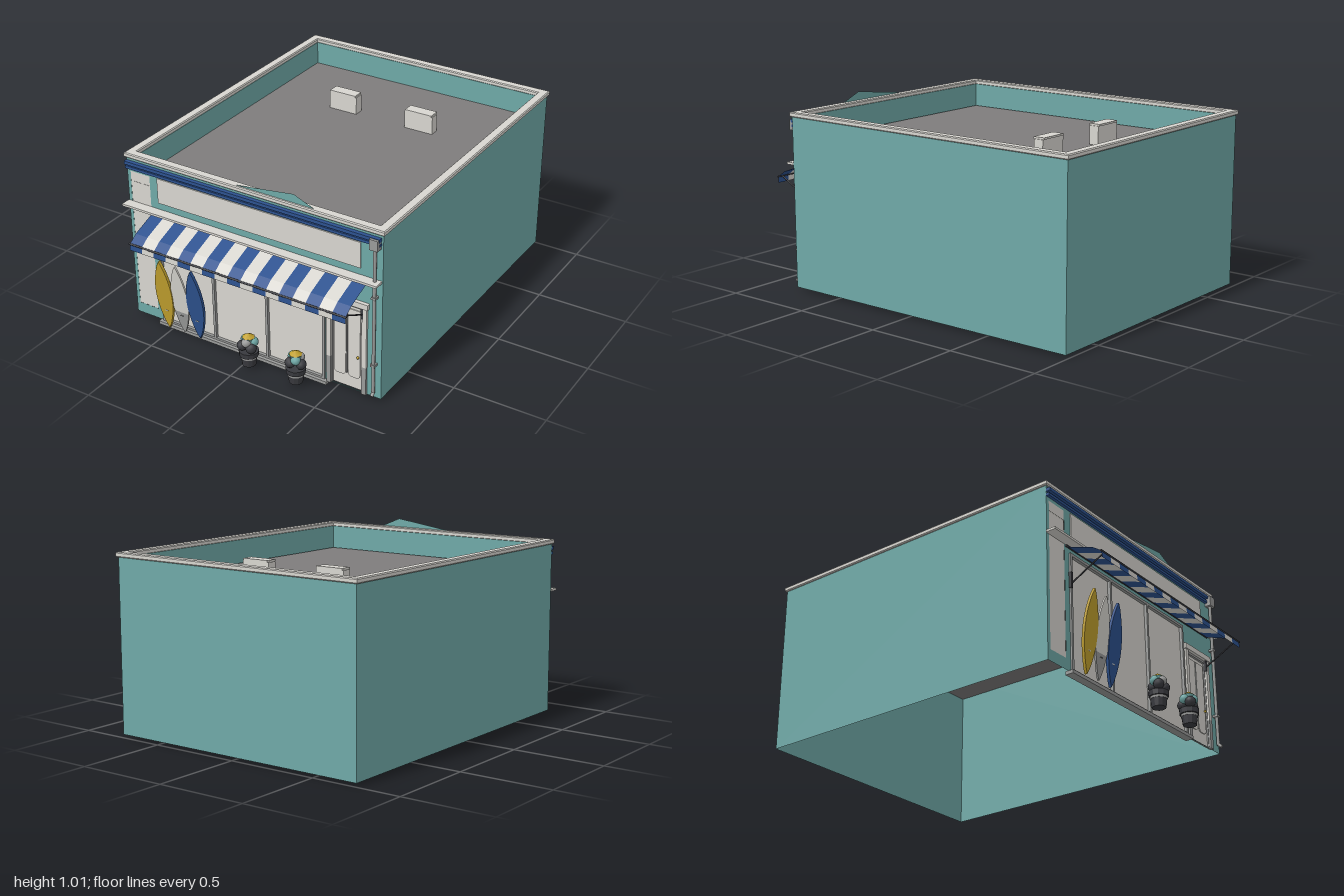
import * as THREE from 'three';
import { mergeGeometries } from 'three/addons/utils/BufferGeometryUtils.js';

const mat = (name, color, side = THREE.FrontSide) => {
  const m = new THREE.MeshStandardMaterial({ color, side });
  m.name = name;
  return m;
};

export function createModel() {
  const D = THREE.DoubleSide;
  const teal = mat('teal paint', 0x6fa9a7, D);
  const pale = mat('pale plaster', 0xd8d6d0, D);
  const grey = mat('grey metal', 0x9a9b9a);
  const roofGrey = mat('roof felt', 0x7e7c7c, D);
  const blue = mat('blue', 0x2d528f, D);
  const gold = mat('gold', 0xc2a12e);
  const dark = mat('dark iron', 0x3a3b40);

  const root = new THREE.Group();
  root.name = 'shop';
  const add = (name, geo, material, parent = root) => {
    const m = new THREE.Mesh(geo, material);
    m.name = name;
    parent.add(m);
    return m;
  };
  // Box given by its limits
  const box = (name, material, x0, x1, y0, y1, z0, z1, parent) => {
    const m = add(name, new THREE.BoxGeometry(x1 - x0, y1 - y0, z1 - z0), material, parent);
    m.position.set((x0 + x1) / 2, (y0 + y1) / 2, (z0 + z1) / 2);
    return m;
  };
  const rect = (x0, x1, y0, y1, C = THREE.Shape) => new C([
    new THREE.Vector2(x0, y0), new THREE.Vector2(x1, y0),
    new THREE.Vector2(x1, y1), new THREE.Vector2(x0, y1)]);
  const rod = (name, material, a, b, r, parent) => {
    const p = new THREE.Vector3(...a), q = new THREE.Vector3(...b);
    const m = add(name, new THREE.CylinderGeometry(r, r, p.distanceTo(q), 8), material, parent);
    m.position.copy(p).add(q).multiplyScalar(0.5);
    m.quaternion.setFromUnitVectors(new THREE.Vector3(0, 1, 0), q.sub(p).normalize());
    return m;
  };

  // Shell: open below, with openings in the front
  const zF = 0.79, zB = -0.99, base = 0.015, top = 0.945, roofY = 0.81;
  const front = rect(-0.75, 0.75, base, top);
  front.holes.push(rect(-0.73, -0.61, 0.075, 0.865, THREE.Path),
    rect(-0.57, 0.43, 0.02, 0.64, THREE.Path),
    rect(0.455, 0.665, 0.02, 0.535, THREE.Path));
  add('frontWall', new THREE.ShapeGeometry(front), teal).position.z = zF;
  const back = add('backWall', new THREE.ShapeGeometry(rect(-0.75, 0.75, base, top)), teal);
  back.rotation.y = Math.PI;
  back.position.z = zB;
  for (const s of [-1, 1]) {
    const w = add(s > 0 ? 'leftWall' : 'rightWall', new THREE.PlaneGeometry(zF - zB, top - base), teal);
    w.rotation.y = s * Math.PI / 2;
    w.position.set(s * 0.75, (top + base) / 2, (zF + zB) / 2);
  }
  const roof = add('roof', new THREE.PlaneGeometry(1.5, zF - zB), roofGrey);
  roof.rotation.x = -Math.PI / 2;
  roof.position.set(0, roofY, (zF + zB) / 2);

  // Parapet and its coping
  const ring = (name, material, w, z0, z1, y0, y1, bevel) => {
    const s = rect(-w + bevel, w - bevel, -z1 + bevel, -z0 - bevel);
    s.holes.push(rect(-0.71 - bevel, 0.71 + bevel, -0.75 - bevel, 0.95 + bevel, THREE.Path));
    const g = new THREE.ExtrudeGeometry(s, {
      depth: y1 - y0 - 2 * bevel, bevelEnabled: bevel > 0,
      bevelSize: bevel, bevelThickness: bevel, bevelSegments: 1 });
    g.rotateX(-Math.PI / 2);
    add(name, g, material).position.y = y0 + bevel;
  };
  ring('parapet', teal, 0.748, zB + 0.002, zF - 0.002, roofY + 0.003, top - 0.002, 0);
  ring('coping', pale, 0.76, -1, 0.8, 0.94, 0.966, 0.005);
  const gable = new THREE.Shape([new THREE.Vector2(-0.1, 0.964), new THREE.Vector2(0.375, 0.964),
    new THREE.Vector2(0.255, 1.013)]);
  add('gable', new THREE.ShapeGeometry(gable), teal).position.z = 0.786;

  // Roof vents
  for (const x of [-0.24, 0.235]) {
    box('roofVent', pale, x - 0.085, x + 0.085, roofY, 0.91, -0.525, -0.47);
    box('ventLid', pale, x - 0.08, x + 0.08, 0.91, 0.92, -0.53, -0.465);
  }

  // Facade trim
  box('upperCorniceBand', blue, -0.75, 0.74, 0.907, 0.925, zF, 0.812);
  box('lowerCorniceBand', blue, -0.75, 0.74, 0.882, 0.897, zF, 0.806);
  box('ledge', pale, -0.755, 0.745, 0.68, 0.692, zF, 0.845);
  box('signPanel', pale, -0.56, 0.63, 0.73, 0.87, zF, 0.796);
  box('sidePanel', pale, -0.73, -0.61, 0.075, 0.865, zF - 0.006, zF - 0.001);

  // Shop window
  box('windowPane', pale, -0.57, 0.43, 0.02, 0.64, 0.778, 0.784);
  for (const x of [-0.566, -0.235, 0.09, 0.425]) {
    box('mullion', grey, x - 0.007, x + 0.007, 0.02, 0.64, 0.784, 0.8);
  }
  box('windowRail', grey, -0.573, 0.432, 0.02, 0.031, 0.784, 0.8);
  box('windowHead', grey, -0.573, 0.432, 0.63, 0.645, 0.784, 0.8);
  box('sill', grey, -0.59, 0.45, 0, 0.018, 0.77, 0.815);

  // Door
  const door = new THREE.Group();
  door.name = 'door';
  root.add(door);
  box('doorSlab', pale, 0.455, 0.665, 0.02, 0.535, 0.776, 0.784, door);
  for (const x of [0.457, 0.658]) {
    box('doorJamb', pale, x - 0.013, x + 0.013, 0.175, 0.515, 0.784, 0.803, door);
    box('jambPlinth', grey, x - 0.013, x + 0.013, base, 0.175, 0.784, 0.803, door);
  }
  box('doorLintel', pale, 0.435, 0.68, 0.515, 0.545, 0.784, 0.81, door);
  box('doorHeadRail', grey, 0.47, 0.645, 0.5, 0.513, 0.784, 0.795, door);
  box('doorSideRail', grey, 0.47, 0.474, 0.02, 0.5, 0.784, 0.792, door);
  box('doorSideRail', grey, 0.641, 0.645, 0.02, 0.5, 0.784, 0.792, door);
  box('doorSplit', grey, 0.552, 0.557, 0.1, 0.48, 0.784, 0.791, door);
  for (const x of [0.514, 0.595]) {
    const s = new THREE.Shape(), h = 0.034, r = 0.025;
    s.moveTo(-h, 0.48).lineTo(-h, 0.085 + r).quadraticCurveTo(-h, 0.085, -h + r, 0.085);
    s.lineTo(h - r, 0.085).quadraticCurveTo(h, 0.085, h, 0.085 + r).lineTo(h, 0.48);
    add('doorPanel', new THREE.ExtrudeGeometry(s, { depth: 0.005, bevelEnabled: false }), pale, door)
      .position.set(x, 0, 0.784);
  }
  add('doorKnob', new THREE.SphereGeometry(0.007, 8, 6), gold, door).position.set(0.62, 0.215, 0.795);

  // Striped awning
  const profile = [[0.67, 0.792], [0.615, 0.945], [0.58, 0.995], [0.545, 0.997]];
  const stripes = [[], []], x0 = -0.594, sw = 1.266 / 17;
  for (let i = 0; i < 17; i++) {
    const g = new THREE.PlaneGeometry(1, 1, 1, profile.length - 1);
    const p = g.attributes.position;
    for (let v = 0; v < p.count; v++) {
      const [y, z] = profile[Math.floor(v / 2)];
      p.setXYZ(v, x0 + sw * (i + v % 2), y, z);
    }
    const flat = g.toNonIndexed();
    flat.computeVertexNormals();
    stripes[i % 2].push(flat);
  }
  add('awningBlueStripes', mergeGeometries(stripes[0]), blue);
  add('awningPaleStripes', mergeGeometries(stripes[1]), pale);
  rod('awningBar', dark, [-0.6, 0.58, 0.995], [0.675, 0.58, 0.995], 0.005);
  rod('awningTopBar', dark, [-0.605, 0.671, 0.797], [0.68, 0.671, 0.797], 0.006);
  for (const x of [-0.57, 0.645]) {
    rod('awningArm', dark, [x, 0.58, 0.993], [x, 0.478, 0.8], 0.004);
    box('armBracket', dark, x - 0.007, x + 0.007, 0.455, 0.54, zF, 0.805);
  }

  // Downpipe
  box('rainHead', grey, 0.692, 0.738, 0.865, 0.922, zF, 0.825);
  rod('downpipe', grey, [0.715, 0.05, 0.807], [0.715, 0.87, 0.807], 0.009);
  rod('pipeOutlet', grey, [0.715, 0.055, 0.807], [0.718, 0.04, 0.825], 0.009);
  for (const y of [0.215, 0.6]) box('pipeClip', grey, 0.702, 0.728, y - 0.006, y + 0.006, zF, 0.819);

  // Surfboards
  const boardPart = (t0, t1) => {
    const left = [], right = [], n = 16, len = 0.432;
    for (let i = 0; i <= n; i++) {
      const t = t0 + (t1 - t0) * i / n;
      const w = 0.05 * Math.pow(Math.max(0, Math.sin(Math.PI * t)), 0.8) + 0.001;
      right.push(new THREE.Vector2(w, t * len));
      left.unshift(new THREE.Vector2(-w, t * len));
    }
    return new THREE.ExtrudeGeometry(new THREE.Shape([...right, ...left]), {
      depth: 0.01, bevelEnabled: t1 - t0 === 1, bevelSize: 0.002, bevelThickness: 0.003, bevelSegments: 1 });
  };
  [[-0.505, gold], [-0.407, pale], [-0.308, blue]].forEach(([x, m]) => {
    const b = new THREE.Group();
    b.name = 'surfboard';
    b.position.set(x, 0.022, 0.822);
    b.rotation.x = 0.135;
    root.add(b);
    if (m === pale) {
      add('boardTail', boardPart(0, 0.31), grey, b);
      add('boardNose', boardPart(0.31, 1), m, b);
    } else add('board', boardPart(0, 1), m, b);
    box('boardMark', m === pale ? grey : pale, -0.01, 0.01, 0.112, 0.117, 0.012, 0.0145, b);
  });

  // Potted plants: [x, y, z, radius, material]
  const leaves = [[-0.026, 0.127, 0.02, 0.028, dark], [0.027, 0.125, 0.018, 0.029, dark],
    [0, 0.13, -0.028, 0.029, dark], [-0.022, 0.152, -0.006, 0.026, teal],
    [0.024, 0.15, -0.008, 0.027, teal], [0.002, 0.152, 0.022, 0.026, grey]];
  for (const [x, turn] of [[0.033, 0], [0.315, 2.4]]) {
    const plant = new THREE.Group();
    plant.name = 'pottedPlant';
    plant.position.set(x, base, 0.88);
    plant.rotation.y = turn;
    root.add(plant);
    const pot = [[0, 0], [0.036, 0], [0.043, 0.055], [0.05, 0.057], [0.052, 0.085], [0.044, 0.085], [0, 0.08]];
    const g = new THREE.LatheGeometry(pot.map(([r, y]) => new THREE.Vector2(r, y)), 12).toNonIndexed();
    g.computeVertexNormals();
    add('pot', g, dark, plant);
    add('potBand', new THREE.CylinderGeometry(0.0445, 0.0435, 0.012, 12, 1), grey, plant).position.y = 0.05;
    for (const [lx, y, z, r, m] of leaves) {
      const leaf = add('foliage', new THREE.IcosahedronGeometry(r, 1), m, plant);
      leaf.position.set(lx, y - 0.012, z);
    }
    const bloom = add('bloom', new THREE.ConeGeometry(0.034, 0.022, 7), gold, plant);
    bloom.position.y = 0.174;
    add('bloomBase', new THREE.CylinderGeometry(0.034, 0.03, 0.02, 7), teal, plant).position.y = 0.153;
  }
  return root;
}
